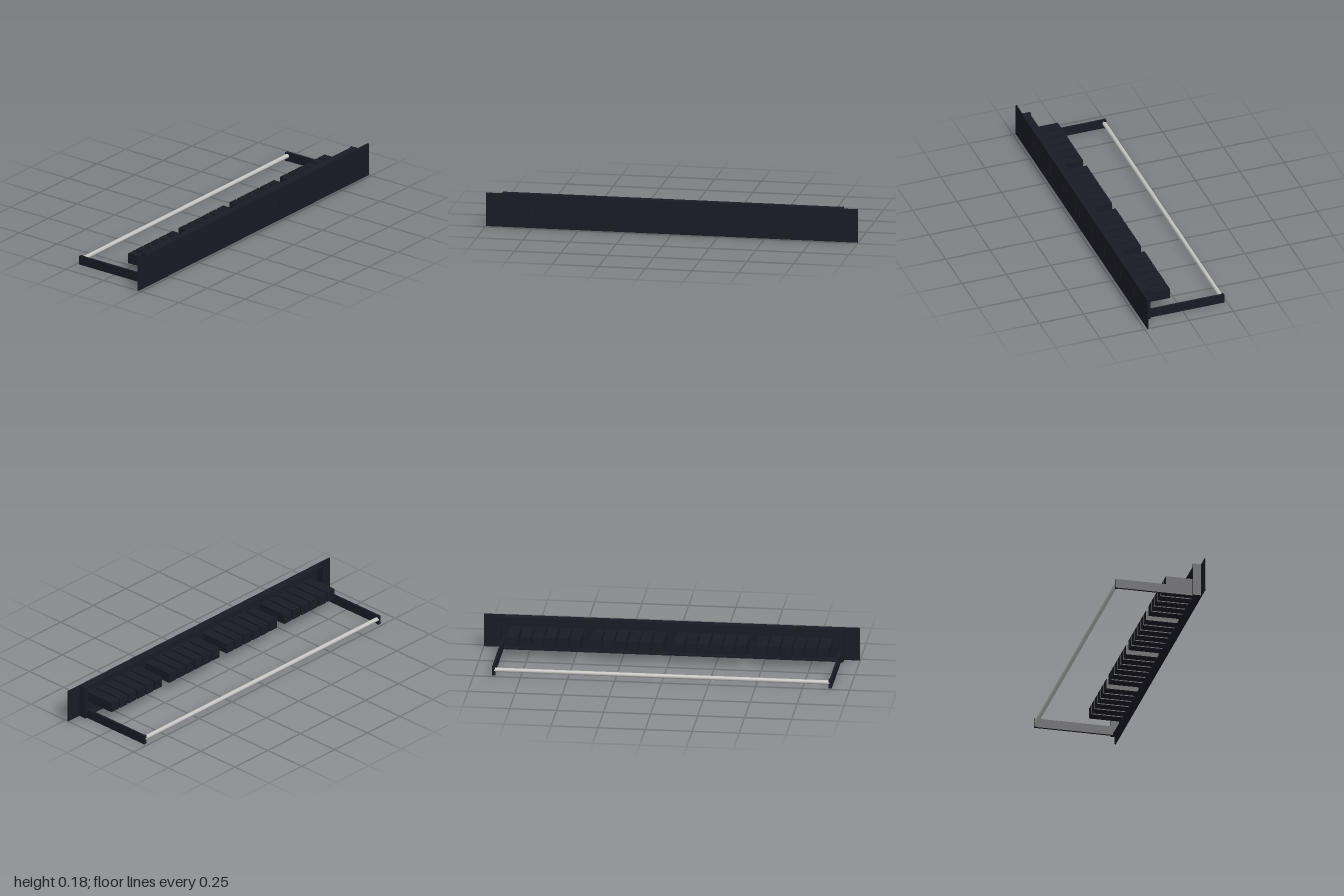
import * as THREE from 'three';

export function createModel() {
  const model = new THREE.Group();
  const panelDark = new THREE.MeshStandardMaterial({ name: 'panelDark', color: 0x1a1a25 });
  const rodSilver = new THREE.MeshStandardMaterial({ name: 'rodSilver', color: 0xc4c3c0 });

  // Box given by its lower and upper corners
  function box(name, [x0, y0, z0], [x1, y1, z1], parent = model) {
    const mesh = new THREE.Mesh(new THREE.BoxGeometry(x1 - x0, y1 - y0, z1 - z0), panelDark);
    mesh.position.set((x0 + x1) / 2, (y0 + y1) / 2, (z0 + z1) / 2);
    mesh.name = name;
    parent.add(mesh);
  }

  // Front plate with mounting ears
  box('frontPlate', [-1, 0, 0.228], [1, 0.181, 0.2345]);

  // Shallow channel folded back behind the plate
  box('topLip', [-0.903, 0.173, 0.192], [0.903, 0.181, 0.228]);
  box('bottomLip', [-0.903, 0, 0.192], [0.903, 0.008, 0.228]);

  // Side flanges and support arms, mirrored
  for (const side of [-1, 1]) {
    const half = new THREE.Group();
    half.name = side > 0 ? 'leftSupport' : 'rightSupport';
    const mirrored = (name, a, b) => {
      const xs = [a[0] * side, b[0] * side].sort((p, q) => p - q);
      box(name, [xs[0], a[1], a[2]], [xs[1], b[1], b[2]], half);
    };
    mirrored('sideFlange', [0.903, 0, 0.185], [0.915, 0.181, 0.228]);
    mirrored('supportArm', [0.891, 0, -0.221], [0.903, 0.05, 0.228]);
    mirrored('armEnd', [0.887, 0, -0.2345], [0.904, 0.05, -0.221]);
    model.add(half);
  }

  // Round cable support rod across the back
  const rod = new THREE.Mesh(new THREE.CylinderGeometry(0.0115, 0.0115, 1.785, 20), rodSilver);
  rod.rotation.z = Math.PI / 2;
  rod.position.set(0, 0.03, -0.224);
  rod.name = 'cableRod';
  model.add(rod);

  // Four banks of six jacks
  const pitch = 0.0662;
  for (let bank = 0; bank < 4; bank++) {
    const group = new THREE.Group();
    group.name = 'jackBank';
    const centre = (bank - 1.5) * 0.44;
    for (let i = 0; i < 6; i++) {
      const x = centre + (i - 2.5) * pitch;
      box('jack', [x - 0.028, 0.064, 0.052], [x + 0.028, 0.12, 0.2355], group);
    }
    model.add(group);
  }
  return model;
}
